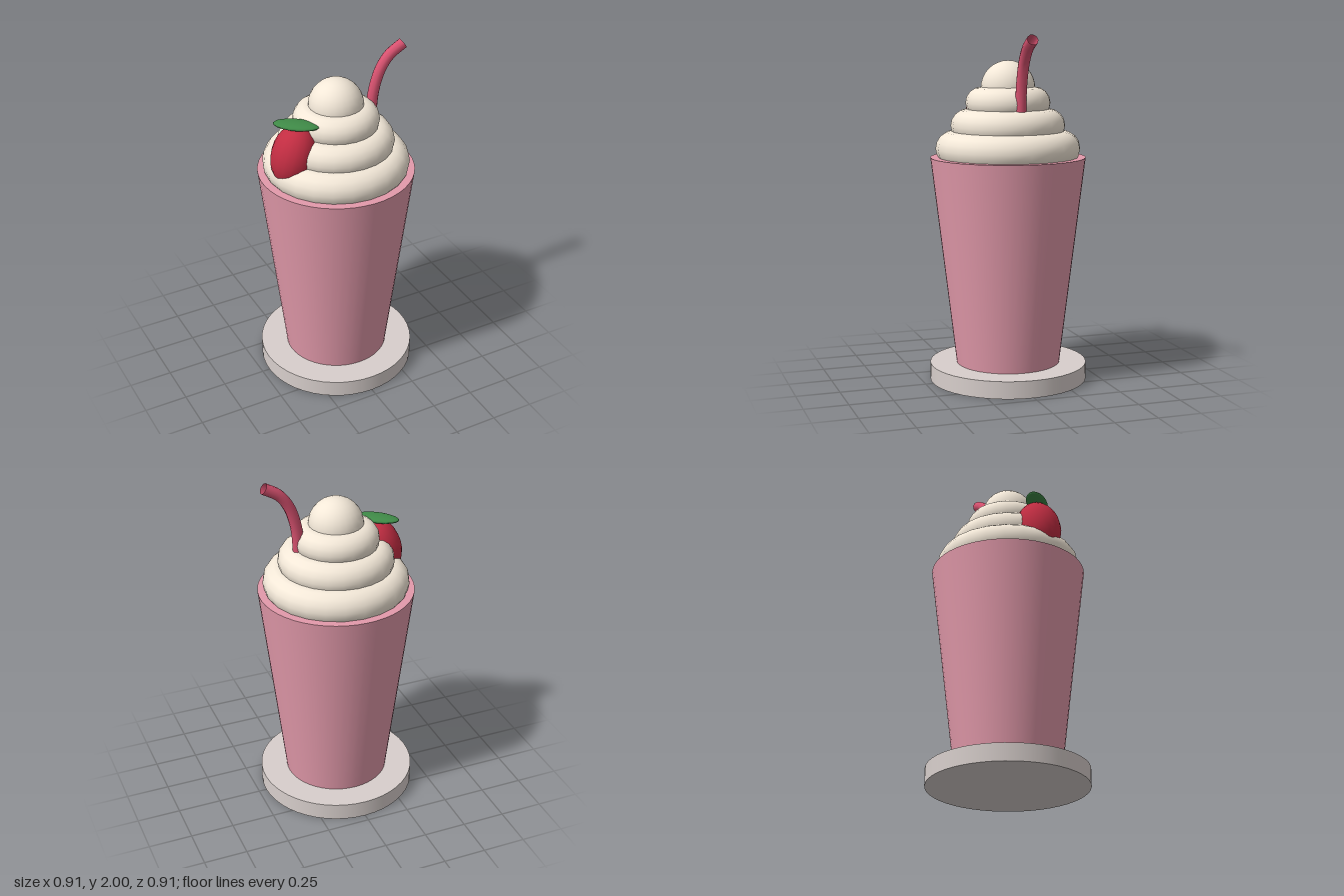
import * as THREE from 'three';

const paint = (color, side = THREE.FrontSide) => new THREE.MeshStandardMaterial({ color, side });

function add(parent, name, geometry, material, x = 0, y = 0, z = 0) {
  const mesh = new THREE.Mesh(geometry, material);
  mesh.name = name;
  mesh.position.set(x, y, z);
  parent.add(mesh);
  return mesh;
}

export function createModel() {
  const model = new THREE.Group();
  model.name = 'milkshake';
  const cream = paint(0xf3e8d8);

  // Round base and tapered cup
  add(model, 'base', new THREE.CylinderGeometry(0.455, 0.455, 0.1, 48), paint(0xd8cfcc), 0, 0.05);
  add(model, 'cup', new THREE.CylinderGeometry(0.445, 0.3, 1.2, 48), paint(0xe39aab), 0, 0.7);

  // Whipped cream: three shrinking rings and a ball on top
  const whip = new THREE.Group();
  whip.name = 'whippedCream';
  model.add(whip);
  const rings = [[0.415, 0.1, 1.35], [0.328, 0.095, 1.48], [0.243, 0.09, 1.61]];
  rings.forEach(([outer, tube, y], i) => {
    const ring = new THREE.TorusGeometry(outer - tube, tube, 16, 24).rotateX(Math.PI / 2);
    add(whip, `creamRing${i + 1}`, ring, cream, 0, y);
  });
  add(whip, 'creamTop', new THREE.SphereGeometry(0.155, 24, 16), cream, 0, 1.695);

  // Bent, hollow drinking straw
  const path = new THREE.CatmullRomCurve3([
    [0.222, 1.4], [0.222, 1.58], [0.235, 1.72], [0.275, 1.845], [0.33, 1.92], [0.415, 1.972],
  ].map(([x, y]) => new THREE.Vector3(x, y, 0)));
  add(model, 'straw', new THREE.TubeGeometry(path, 28, 0.032, 10), paint(0xd85270, THREE.DoubleSide));

  // Leaning berry with a flat leaf
  const berry = add(model, 'berry', new THREE.SphereGeometry(1, 18, 14), paint(0xc22d42), -0.286, 1.48, 0.05);
  berry.scale.set(0.125, 0.178, 0.13);
  berry.rotation.z = -0.3;
  const leaf = add(model, 'leaf', new THREE.SphereGeometry(1, 18, 10), paint(0x3f8a47), -0.268, 1.66, 0.05);
  leaf.scale.set(0.13, 0.02, 0.06);
  leaf.rotation.y = -0.7;

  return model;
}
